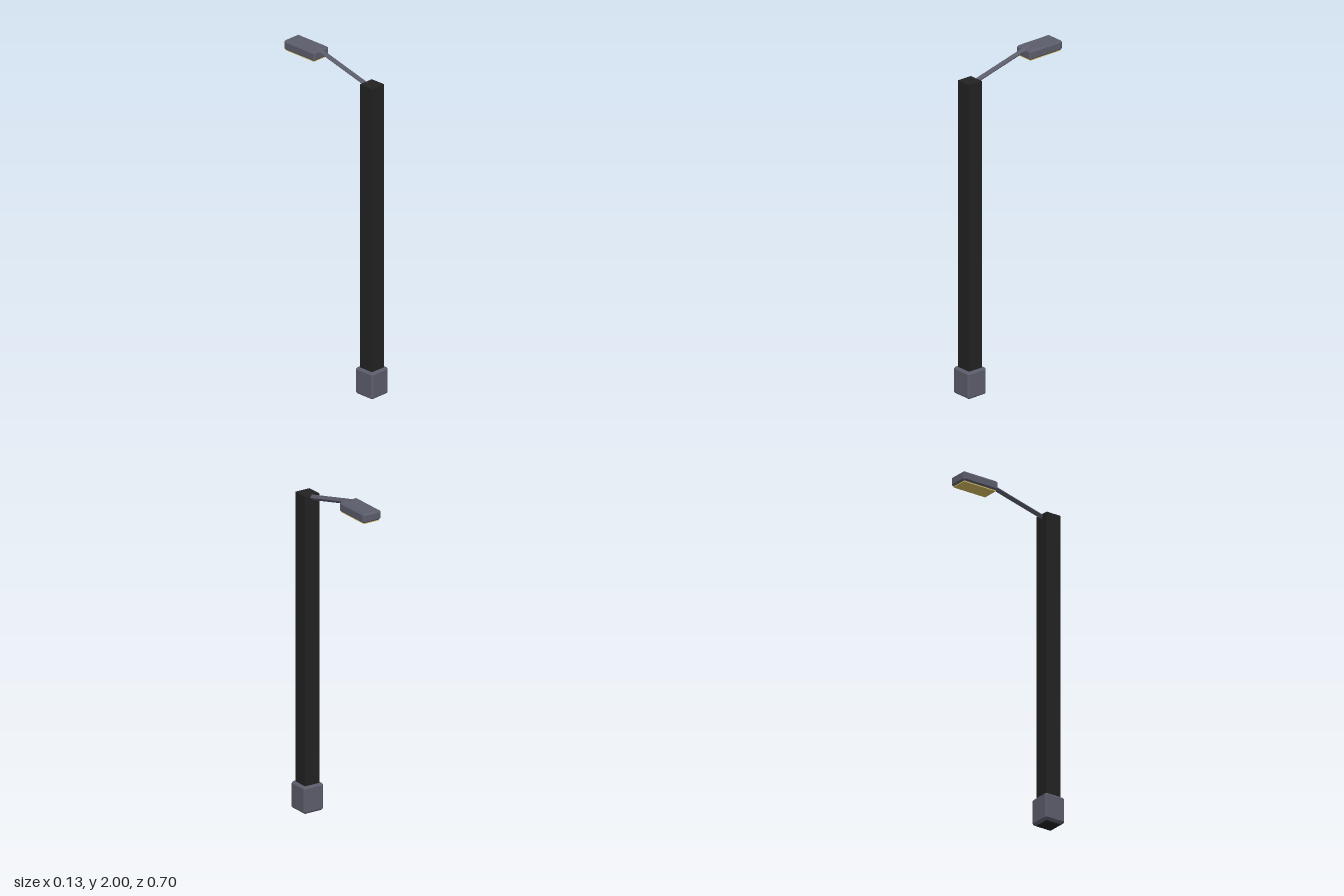
import * as THREE from 'three';
import { ConvexGeometry } from 'three/addons/geometries/ConvexGeometry.js';

// Box with flat chamfers on every edge, centred on the origin
function chamferBox(w, h, d, c) {
  const points = [];
  for (const sx of [-1, 1]) for (const sy of [-1, 1]) for (const sz of [-1, 1]) {
    const x = w / 2, y = h / 2, z = d / 2;
    points.push(
      new THREE.Vector3(sx * x, sy * (y - c), sz * (z - c)),
      new THREE.Vector3(sx * (x - c), sy * y, sz * (z - c)),
      new THREE.Vector3(sx * (x - c), sy * (y - c), sz * z));
  }
  return new ConvexGeometry(points);
}

export function createModel() {
  const group = new THREE.Group();
  const mat = (name, color) => {
    const m = new THREE.MeshStandardMaterial({ color });
    m.name = name;
    return m;
  };
  const black = mat('black', 0x222222);
  const grey = mat('slate grey', 0x5c5d6b);
  const yellow = mat('warm yellow', 0xd4bc62);

  const add = (name, geometry, material, x, y, z) => {
    const mesh = new THREE.Mesh(geometry, material);
    mesh.name = name;
    mesh.position.set(x, y, z);
    group.add(mesh);
    return mesh;
  };

  const postZ = 0.283;

  // Square post running through its chamfered foot
  add('post', new THREE.BoxGeometry(0.096, 1.9, 0.096), black, 0, 0.95, postZ);
  add('base', chamferBox(0.134, 0.16, 0.134, 0.01), grey, 0, 0.085, postZ);

  // Square bar set on edge, rising from the post to the lamp
  const start = new THREE.Vector3(0, 1.876, 0.28);
  const end = new THREE.Vector3(0, 1.984, -0.147);
  const dir = end.clone().sub(start);
  const bar = new THREE.BoxGeometry(0.0228, 0.0228, dir.length());
  bar.rotateZ(Math.PI / 4);
  bar.rotateX(Math.atan2(dir.y, -dir.z));
  const mid = start.clone().add(end).multiplyScalar(0.5);
  add('arm', bar, grey, mid.x, mid.y, mid.z);

  // Lamp housing with the light panel underneath
  add('lampHousing', chamferBox(0.12, 0.056, 0.241, 0.009), grey, 0, 1.958, -0.2305);
  add('lightPanel', new THREE.BoxGeometry(0.1, 0.008, 0.22), yellow, 0, 1.928, -0.2305);

  return group;
}
